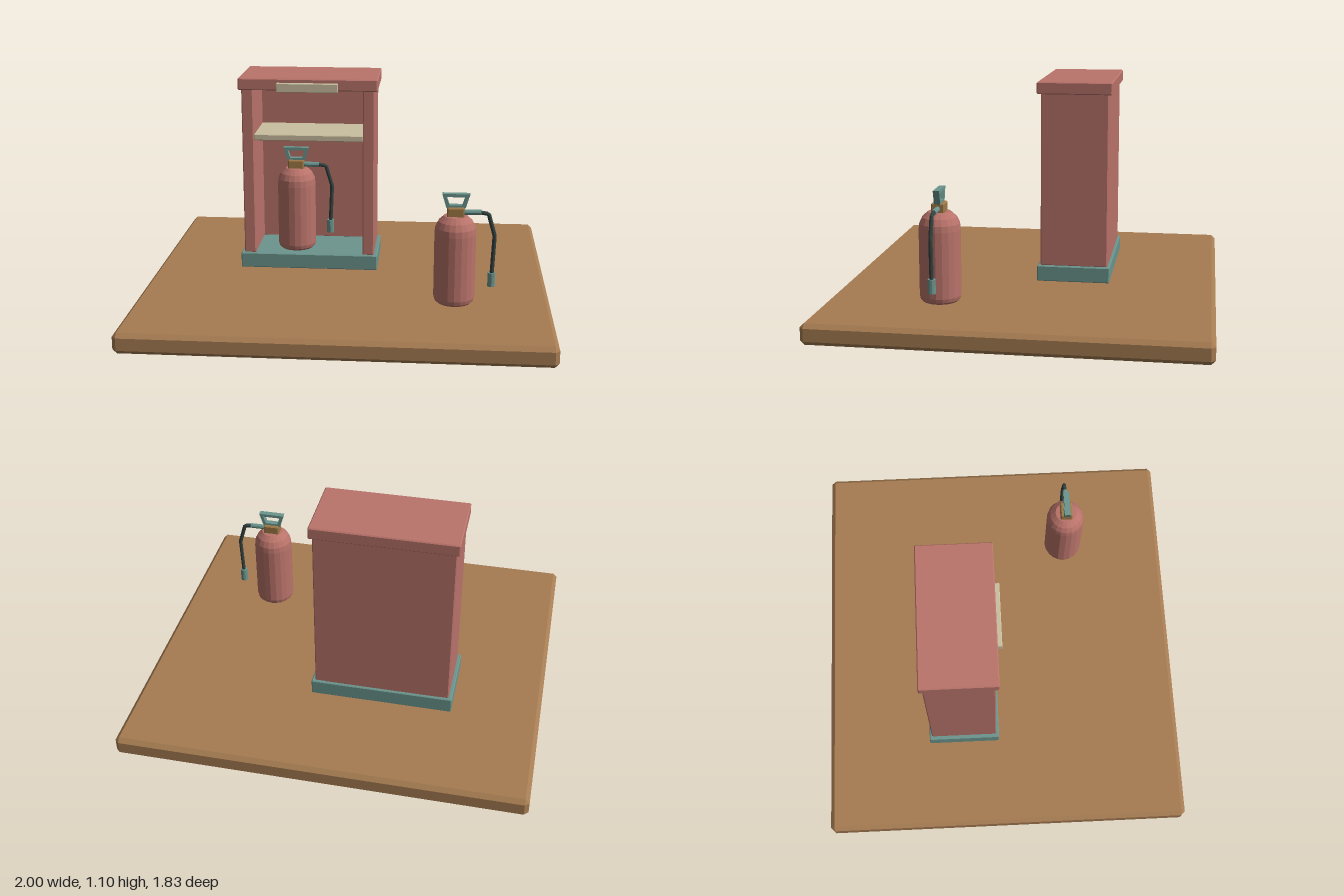
import * as THREE from 'three';
import { ConvexGeometry } from 'three/addons/geometries/ConvexGeometry.js';

const material = (color) => new THREE.MeshStandardMaterial({ color, flatShading: true });
const red = material(0xb9736a);
const teal = material(0x6b958d);
const wood = material(0xa67c52);
const brass = material(0xa07a48);
const cream = material(0xcabf9f);
const rubber = material(0x34423f);

function addMesh(parent, name, geometry, mat) {
  const mesh = new THREE.Mesh(geometry, mat);
  mesh.name = name;
  parent.add(mesh);
  return mesh;
}

// Box with chamfered edges, given by its [min, max] range on each axis
function addBlock(parent, name, mat, xr, yr, zr, bevel) {
  const ranges = [xr, yr, zr];
  const half = ranges.map(([a, b]) => (b - a) / 2);
  const points = [];
  for (const sx of [-1, 1]) for (const sy of [-1, 1]) for (const sz of [-1, 1]) {
    for (let full = 0; full < 3; full++) {
      points.push(new THREE.Vector3(...[sx, sy, sz].map((s, i) => s * (half[i] - (i === full ? 0 : bevel)))));
    }
  }
  const mesh = addMesh(parent, name, new ConvexGeometry(points), mat);
  mesh.position.set(...ranges.map(([a, b]) => (a + b) / 2));
  return mesh;
}

// Capped rod between two points
function addRod(parent, name, mat, from, to, radius, sides = 10) {
  const a = new THREE.Vector3(...from), b = new THREE.Vector3(...to);
  const dir = b.clone().sub(a);
  const mesh = addMesh(parent, name, new THREE.CylinderGeometry(radius, radius, dir.length(), sides), mat);
  mesh.position.copy(a).add(b).multiplyScalar(0.5);
  mesh.quaternion.setFromUnitVectors(new THREE.Vector3(0, 1, 0), dir.normalize());
}

function createExtinguisher(name) {
  const g = new THREE.Group();
  g.name = name;

  // Tank
  const profile = [[0, 0], [0.083, 0], [0.094, 0.01], [0.099, 0.028], [0.099, 0.345], [0.096, 0.375],
    [0.082, 0.405], [0.055, 0.43], [0, 0.433]].map(([r, y]) => new THREE.Vector2(r, y));
  addMesh(g, 'tank', new THREE.LatheGeometry(profile, 20), red);

  // Valve block
  addBlock(g, 'valve', brass, [-0.041, 0.041], [0.42, 0.474], [-0.031, 0.031], 0.005);

  // Carrying handle: a trapezoid ring
  const outline = (pts) => pts.map(([x, y]) => new THREE.Vector2(x, y));
  const ring = new THREE.Shape(outline([[-0.045, 0.47], [0.045, 0.47], [0.066, 0.539], [-0.066, 0.539]]));
  ring.holes.push(new THREE.Path(outline([[-0.031, 0.484], [-0.045, 0.524], [0.045, 0.524], [0.031, 0.484]])));
  const handle = new THREE.ExtrudeGeometry(ring, { depth: 0.03, bevelEnabled: false });
  handle.translate(0, 0, -0.015);
  addMesh(g, 'handle', handle, teal);

  // Hose with its connector and nozzle
  addRod(g, 'hoseConnector', teal, [0.035, 0.448, 0], [0.119, 0.448, 0], 0.013);
  const hose = new THREE.CurvePath();
  const bends = [[0.115, 0.448, 0], [0.155, 0.442, 0], [0.186, 0.335, 0], [0.178, 0.145, 0]]
    .map((p) => new THREE.Vector3(...p));
  for (let i = 0; i < bends.length - 1; i++) hose.add(new THREE.LineCurve3(bends[i], bends[i + 1]));
  addMesh(g, 'hose', new THREE.TubeGeometry(hose, 40, 0.01, 8, false), rubber);
  addRod(g, 'nozzle', teal, [0.177, 0.15, 0], [0.177, 0.082, 0], 0.019);
  return g;
}

function createCabinet() {
  const g = new THREE.Group();
  g.name = 'cabinet';
  addBlock(g, 'plinth', teal, [-0.565, 0.144], [0.1, 0.178], [-0.39, -0.028], 0.004);

  // Side walls and back
  for (const [name, x] of [['rightWall', -0.548], ['leftWall', 0.067]]) {
    addBlock(g, name, red, [x, x + 0.059], [0.176, 1.044], [-0.378, -0.043], 0.005);
  }
  addBlock(g, 'backPanel', red, [-0.5, 0.08], [0.176, 1.044], [-0.378, -0.345], 0.003);

  // Shelf, lid and blank front plate
  addBlock(g, 'shelf', cream, [-0.491, 0.069], [0.775, 0.807], [-0.343, -0.055], 0.004);
  addBlock(g, 'lid', red, [-0.562, 0.142], [1.04, 1.1], [-0.394, -0.025], 0.005);
  addBlock(g, 'frontPlate', cream, [-0.366, -0.056], [1.035, 1.08], [-0.03, -0.004], 0.003);
  return g;
}

export function createModel() {
  const model = new THREE.Group();
  model.name = 'extinguisherStation';

  // Wooden platform
  addBlock(model, 'platform', wood, [-1, 1], [0, 0.1], [-0.915, 0.915], 0.02);
  model.add(createCabinet());

  // One extinguisher in the cabinet, one standing in front
  const stored = createExtinguisher('storedExtinguisher');
  stored.position.set(-0.287, 0.178, -0.168);
  const standing = createExtinguisher('standingExtinguisher');
  standing.position.set(0.538, 0.1, 0.375);
  model.add(stored, standing);
  return model;
}
